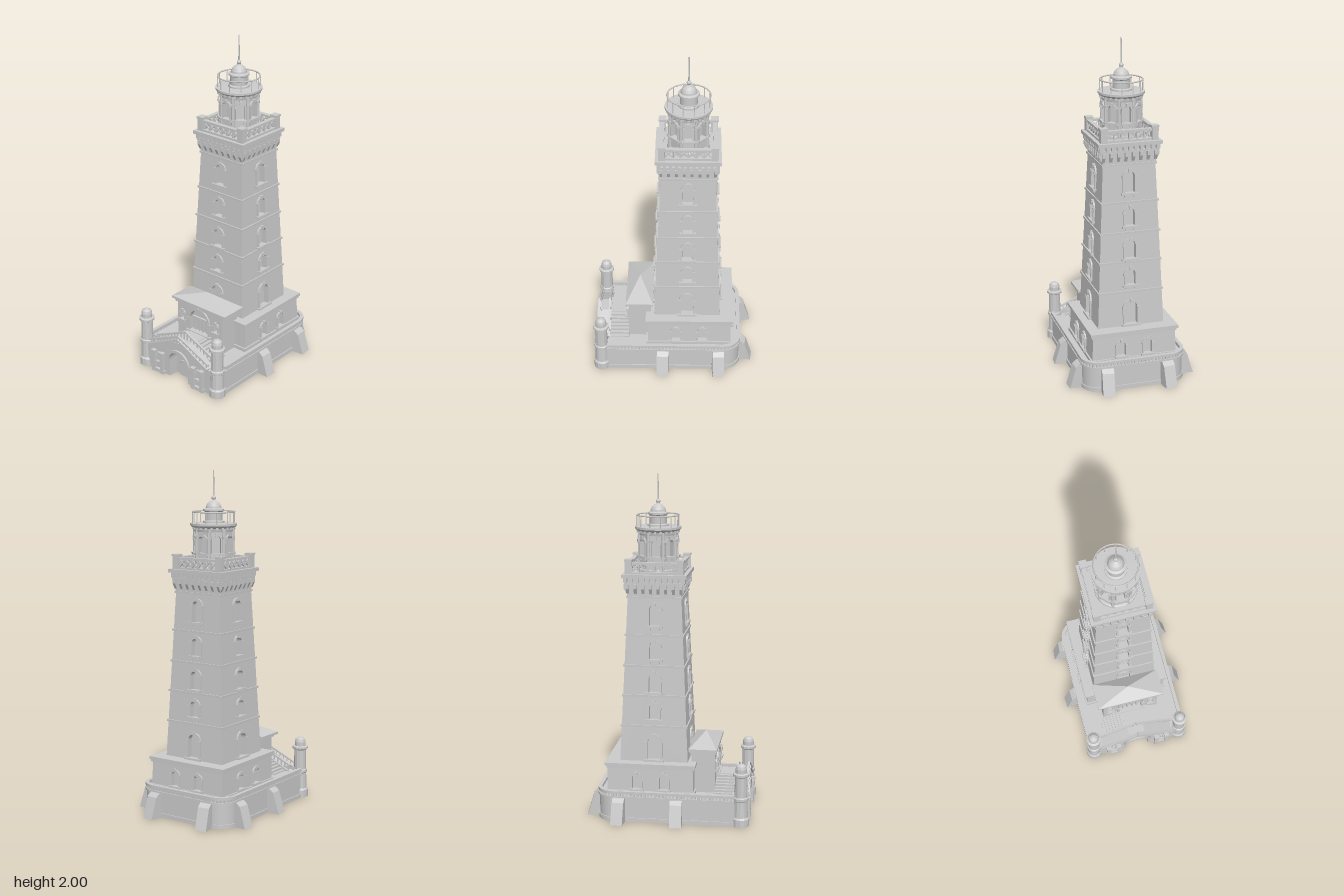
import * as THREE from 'three';

const mat = new THREE.MeshStandardMaterial({ color: 0xcccccc, flatShading: true });
const smooth = new THREE.MeshStandardMaterial({ color: 0xcccccc });
const CZ = -0.095; // tower axis

function add(parent, name, geo, x = 0, y = 0, z = 0, m = mat) {
  const mesh = new THREE.Mesh(geo, m);
  mesh.name = name;
  mesh.position.set(x, y, z);
  parent.add(mesh);
  return mesh;
}
const box = (p, name, w, h, d, x, y, z) => add(p, name, new THREE.BoxGeometry(w, h, d), x, y, z);
function group(parent, name, x = 0, y = 0, z = 0) {
  const g = new THREE.Group();
  g.name = name;
  g.position.set(x, y, z);
  parent.add(g);
  return g;
}
const extrude = (shape, depth) => new THREE.ExtrudeGeometry(shape, { depth, bevelEnabled: false, curveSegments: 10 });

// Round-headed outline: centre x, sill y, width, total height
function arch(Type, x, y, w, h) {
  const p = new Type(), r = w / 2;
  p.moveTo(x - r, y);
  p.lineTo(x + r, y);
  p.lineTo(x + r, y + h - r);
  p.absarc(x, y + h - r, r, 0, Math.PI, false);
  p.lineTo(x - r, y);
  return p;
}
// Beam between two points in a plane of constant z
function beam(p, name, x0, y0, x1, y1, z, t, d = t) {
  const b = box(p, name, Math.hypot(x1 - x0, y1 - y0), t, d, (x0 + x1) / 2, (y0 + y1) / 2, z);
  b.rotation.z = Math.atan2(y1 - y0, x1 - x0);
}
// Arched surround with sill, brackets and keystone
function windowTrim(p, { x, y, w, h }, f = 0.012) {
  const s = arch(THREE.Shape, x, y, w + 2 * f, h + f);
  s.holes.push(arch(THREE.Path, x, y + 0.001, w, h - 0.001));
  add(p, 'windowSurround', extrude(s, 0.014), 0, 0, -0.004);
  box(p, 'windowSill', w + 3.4 * f, 0.012, 0.03, x, y - 0.004, 0.004);
  for (const k of [-1, 1]) {
    box(p, 'sillBracket', 0.01, 0.014, 0.016, x + k * w * 0.45, y - 0.016, 0.004);
    box(p, 'impost', f * 1.4, 0.012, 0.022, x + k * (w / 2 + f * 0.6), y + h - w / 2, 0.004);
  }
  box(p, 'keystone', 0.014, 0.02, 0.022, x, y + h + f * 0.5, 0.004);
}
// Wall panel with arched openings, outer face at z = 0
function panel(p, name, w0, w1, h, t, windows) {
  const s = new THREE.Shape([[-w0, 0], [w0, 0], [w1, h], [-w1, h]].map(a => new THREE.Vector2(...a)));
  for (const o of windows) {
    s.holes.push(arch(THREE.Path, o.x, o.y, o.w, o.h));
    windowTrim(p, o, o.f);
  }
  add(p, name, extrude(s, t), 0, 0, -t);
}
// Closed ring of n panels, a0/a1 = distance of the face from the axis at bottom/top
function walls(p, name, n, a0, a1, y, h, t, windows) {
  const k = Math.tan(Math.PI / n);
  for (let i = 0; i < n; i++) {
    const turn = group(p, name + 'Side');
    turn.rotation.y = i * 2 * Math.PI / n;
    const face = group(turn, name + 'Face', 0, y, a0);
    face.rotation.x = -Math.atan((a0 - a1) / h);
    panel(face, name + 'Wall', a0 * k, a1 * k, h, t, windows);
  }
  const c = Math.cos(Math.PI / n);
  const core = new THREE.CylinderGeometry((a1 - t) / c, (a0 - t) / c, h, n);
  core.rotateY(Math.PI / n);
  add(p, name + 'Core', core, 0, y + h / 2, 0);
}
// Repeat a builder on the four sides of a square
function fourSides(p, name, build) {
  for (let i = 0; i < 4; i++) {
    const g = group(p, name);
    g.rotation.y = i * Math.PI / 2;
    build(g);
  }
}

// Terrace plan: square front corners, round rear corners
function plan(Type, off) {
  const x = 0.305 + off, b = 0.415 + off, f = -0.39, r = 0.1 + off, s = new Type();
  s.moveTo(-x, f);
  s.lineTo(x, f);
  s.lineTo(x, b - r);
  s.absarc(x - r, b - r, r, 0, Math.PI / 2, false);
  s.lineTo(-x + r, b);
  s.absarc(-x + r, b - r, r, Math.PI / 2, Math.PI, false);
  s.lineTo(-x, f);
  return s;
}
function buildTerrace(root) {
  const g = group(root, 'terrace');
  const slab = (name, off, y, h, hole) => {
    const s = plan(THREE.Shape, off);
    if (hole !== undefined) s.holes.push(plan(THREE.Path, hole));
    add(g, name, extrude(s, h).rotateX(-Math.PI / 2), 0, y, 0);
  };
  slab('terraceBase', 0.006, 0, 0.025);
  slab('terraceBody', 0, 0, 0.155);
  slab('terraceLedge', 0.008, 0.142, 0.012);
  slab('parapetRail', 0.008, 0.168, 0.016, -0.014);
  // Row of small blocks carrying the parapet rail
  const dentil = new THREE.BoxGeometry(0.012, 0.016, 0.012);
  for (const q of plan(THREE.Shape, -0.002).getSpacedPoints(130))
    if (q.y > -0.385) add(g, 'parapetBlock', dentil, q.x, 0.16, -q.y);
  // Splayed buttresses
  const prof = new THREE.Shape([[-0.02, 0], [0.078, 0], [0.04, 0.125], [0.015, 0.145], [-0.02, 0.145]].map(a => new THREE.Vector2(...a)));
  const geo = extrude(prof, 0.07).translate(0, 0, -0.035);
  for (const [x, z, a] of [[0.305, -0.285, 0.08], [0.305, 0.05, -0.05], [0.18, -0.415, Math.PI / 2 - 0.13]])
    for (const k of [1, -1]) add(g, 'buttress', geo, k * x, 0, z).rotation.y = k > 0 ? a : Math.PI - a;
}

function buildPodium(root) {
  const g = group(root, 'podium', 0, 0, -0.11);
  walls(g, 'podium', 4, 0.254, 0.25, 0.15, 0.17, 0.02, [-0.08, 0.08].map(x => ({ x, y: 0.035, w: 0.05, h: 0.09, f: 0.009 })));
  box(g, 'podiumPlinth', 0.525, 0.025, 0.525, 0, 0.163, 0);
  box(g, 'podiumCornice', 0.515, 0.014, 0.515, 0, 0.315, 0);
  box(g, 'podiumCoping', 0.53, 0.018, 0.53, 0, 0.331, 0);
}

function buildShaft(root) {
  const g = group(root, 'towerShaft', 0, 0, CZ);
  const base = 0.33, top = 1.32, a0 = 0.2, a1 = 0.155;
  const rows = [[0.35, 0.075, 0.14], [0.59, 0.056, 0.095], [0.75, 0.062, 0.11], [0.945, 0.056, 0.105], [1.14, 0.06, 0.125]];
  walls(g, 'shaft', 4, a0, a1, base, top - base, 0.025, rows.map(([y, w, h]) => ({ x: 0, y: y - base, w, h })));
  for (const y of [0.55, 0.73, 0.905, 1.085, 1.305]) {
    const w = 2 * (a0 + (a1 - a0) * (y - base) / (top - base)) + 0.014;
    box(g, 'stringCourse', w, 0.012, w, 0, y, 0);
  }
}

function buildGallery(root) {
  const g = group(root, 'gallery', 0, 0, CZ);
  box(g, 'corbelBacking', 0.315, 0.11, 0.315, 0, 1.365, 0);
  box(g, 'corbelCourse', 0.345, 0.014, 0.345, 0, 1.385, 0);
  box(g, 'galleryFloor', 0.375, 0.02, 0.375, 0, 1.428, 0);
  const corbel = extrude(new THREE.Shape([[0, 0], [0.01, 0], [0.026, 0.03], [0.026, 0.055], [0, 0.055]].map(a => new THREE.Vector2(...a))), 0.016)
    .translate(0, 0, -0.008).rotateY(-Math.PI / 2);
  fourSides(g, 'gallerySide', s => {
    for (let i = 0; i < 8; i++) add(s, 'corbel', corbel, -0.154 + i * 0.044, 1.325, 0.152);
    for (let i = 0; i < 11; i++) box(s, 'upperDentil', 0.017, 0.028, 0.022, -0.165 + i * 0.033, 1.404, 0.167);
    // Corner pier
    box(s, 'cornerPier', 0.038, 0.08, 0.038, 0.15, 1.476, 0.15);
    box(s, 'pierCap', 0.045, 0.012, 0.045, 0.15, 1.517, 0.15);
    // Balustrade with crossed bars
    box(s, 'galleryRail', 0.27, 0.013, 0.026, 0, 1.5, 0.152);
    box(s, 'galleryKerb', 0.27, 0.012, 0.026, 0, 1.444, 0.152);
    for (let i = 0; i < 6; i++) {
      const x = -0.132 + i * 0.044;
      box(s, 'baluster', 0.008, 0.05, 0.012, x, 1.47, 0.152);
      beam(s, 'crossBar', x, 1.45, x + 0.044, 1.495, 0.152, 0.006);
      beam(s, 'crossBar', x, 1.495, x + 0.044, 1.45, 0.152, 0.006);
    }
  });
}

const lathe = (p, name, pts) => add(p, name, new THREE.LatheGeometry(pts.map(a => new THREE.Vector2(...a)), 32), 0, 0, 0, mat);

function buildLantern(root) {
  const g = group(root, 'lantern', 0, 0, CZ);
  walls(g, 'lanternDrum', 8, 0.106, 0.104, 1.436, 0.234, 0.022, [{ x: 0, y: 0.095, w: 0.046, h: 0.1, f: 0.007 }]);
  lathe(g, 'drumPlinth', [[0, 1.436], [0.122, 1.436], [0.122, 1.452], [0.114, 1.458], [0, 1.458]]);
  for (let i = 0; i < 8; i++) {
    const a = (i + 0.5) * Math.PI / 4, x = Math.sin(a) * 0.112, z = Math.cos(a) * 0.112;
    add(g, 'drumColumn', new THREE.CylinderGeometry(0.009, 0.01, 0.22, 8), x, 1.56, z);
    for (const y of [1.525, 1.62]) box(g, 'columnBand', 0.024, 0.012, 0.024, x, y, z).rotation.y = a;
  }
  lathe(g, 'balcony', [[0, 1.652], [0.113, 1.652], [0.118, 1.672], [0.13, 1.68], [0.135, 1.686], [0.135, 1.698], [0, 1.703]]);
  for (let i = 0; i < 24; i++) {
    const a = i * Math.PI / 12;
    box(g, 'balconyDentil', 0.014, 0.016, 0.018, Math.sin(a) * 0.117, 1.672, Math.cos(a) * 0.117).rotation.y = a;
    if (i % 2) add(g, 'railPost', new THREE.CylinderGeometry(0.003, 0.003, 0.065, 6), Math.sin(a) * 0.122, 1.73, Math.cos(a) * 0.122);
  }
  add(g, 'balconyRail', new THREE.TorusGeometry(0.122, 0.004, 6, 40).rotateX(Math.PI / 2), 0, 1.763, 0, smooth);
  // Lamp room and dome
  lathe(g, 'lampRoom', [[0.062, 1.7], [0.062, 1.71], [0.05, 1.714], [0.05, 1.762], [0.06, 1.768], [0.06, 1.778], [0.046, 1.784],
    [0.044, 1.795], [0.036, 1.81], [0.022, 1.822], [0.011, 1.828], [0.009, 1.836], [0, 1.838]]);
  add(g, 'finialBall', new THREE.SphereGeometry(0.013, 14, 10), 0, 1.842, 0, smooth);
  add(g, 'spire', new THREE.CylinderGeometry(0.003, 0.005, 0.16, 8), 0, 1.92, 0, smooth);
}

function buildGatehouse(root) {
  const g = group(root, 'gatehouse');
  box(g, 'gatehouseCore', 0.35, 0.26, 0.115, 0, 0.285, 0.1825);
  const f = group(g, 'gatehouseFront', 0, 0.155, 0.262);
  panel(f, 'gatehouseWall', 0.175, 0.175, 0.26, 0.03, [
    { x: 0, y: 0.085, w: 0.14, h: 0.148, f: 0.014 },
    ...[-0.132, 0.132].map(x => ({ x, y: 0.135, w: 0.028, h: 0.055, f: 0.007 }))]);
  // Lancets inside the large arch
  for (const x of [-0.045, -0.015, 0.015, 0.045]) box(f, 'lancetMullion', 0.009, 0.085, 0.014, x, 0.128, -0.016);
  box(f, 'lancetTransom', 0.136, 0.01, 0.014, 0, 0.17, -0.016);
  box(g, 'gatehouseCornice', 0.375, 0.016, 0.155, 0, 0.402, 0.192);
  box(g, 'gatehouseEaves', 0.42, 0.014, 0.166, 0, 0.417, 0.193);
  const roof = new THREE.ConeGeometry(Math.SQRT2, 0.063, 4).rotateY(Math.PI / 4).scale(0.21, 1, 0.083);
  add(g, 'gatehouseRoof', roof, 0, 0.455, 0.193);
}

function buildEntrance(root) {
  const g = group(root, 'entrance');
  // Gabled facade with an arched passage cut from the bottom
  const s = new THREE.Shape();
  s.moveTo(-0.28, 0);
  s.lineTo(-0.072, 0);
  s.lineTo(-0.072, 0.11);
  s.absarc(0, 0.11, 0.072, Math.PI, 0, true);
  s.lineTo(0.072, 0);
  for (const [x, y] of [[0.28, 0], [0.28, 0.152], [0.225, 0.158], [0.05, 0.245], [-0.05, 0.245], [-0.225, 0.158], [-0.28, 0.152]]) s.lineTo(x, y);
  add(g, 'facade', extrude(s, 0.075), 0, 0, 0.375);
  const ring = new THREE.Shape().absarc(0, 0.11, 0.088, 0, Math.PI, false);
  ring.absarc(0, 0.11, 0.072, Math.PI, 0, true);
  add(g, 'archMoulding', extrude(ring, 0.016), 0, 0, 0.446);
  add(g, 'door', extrude(arch(THREE.Shape, 0, 0, 0.064, 0.1), 0.016), 0, 0, 0.385);
  add(g, 'doorHood', new THREE.TorusGeometry(0.036, 0.005, 6, 14, Math.PI), 0, 0.068, 0.4);
  // Landing between the two stairs
  box(g, 'landing', 0.12, 0.085, 0.125, 0, 0.195, 0.32);
  for (const k of [-1, 1]) {
    for (let i = 0; i < 7; i++) {
      const h = 0.012 * (i + 1);
      box(g, 'step', 0.02, h, 0.125, k * (0.19 - i * 0.02), 0.15 + h / 2, 0.32);
    }
    // Pilasters and side openings
    for (const x of [0.125, 0.19]) {
      box(g, 'pilaster', 0.022, 0.135, 0.03, k * x, 0.0675, 0.457);
      box(g, 'pilasterCap', 0.03, 0.012, 0.036, k * x, 0.135, 0.457);
    }
    box(g, 'pilasterBase', 0.1, 0.02, 0.02, k * 0.157, 0.01, 0.458);
    const w = group(g, 'sideWindow', 0, 0, 0.449);
    windowTrim(w, { x: k * 0.157, y: 0.07, w: 0.024, h: 0.05 }, 0.006);
    // Sloping coping and handrails
    beam(g, 'gableCoping', k * 0.23, 0.16, 0, 0.272, 0.45, 0.012, 0.022);
    for (const z of [0.385, 0.45]) {
      beam(g, 'handrail', k * 0.235, 0.19, 0, 0.295, z, 0.01, 0.012);
      for (let i = 0; i < 9; i++) {
        const x = 0.012 + i * 0.026;
        box(g, 'stairBaluster', 0.006, 0.05, 0.006, k * x, 0.268 - x * 0.45, z);
      }
    }
    // Corner turret
    const t = group(g, 'cornerTurret', k * 0.28, 0, 0.424);
    const prof = [[0, 0], [0.05, 0], [0.05, 0.045], [0.042, 0.055], [0.038, 0.15], [0.044, 0.155], [0.044, 0.17], [0.037, 0.175], [0.036, 0.295],
      [0.047, 0.302], [0.047, 0.315], [0.033, 0.32], [0.033, 0.343], [0.028, 0.36], [0.014, 0.371], [0, 0.374]];
    add(t, 'turretBody', new THREE.LatheGeometry(prof.map(a => new THREE.Vector2(...a)), 12));
  }
}

export function createModel() {
  const root = new THREE.Group();
  root.name = 'lighthouse';
  for (const build of [buildTerrace, buildPodium, buildShaft, buildGallery, buildLantern, buildGatehouse, buildEntrance]) build(root);
  return root;
}
